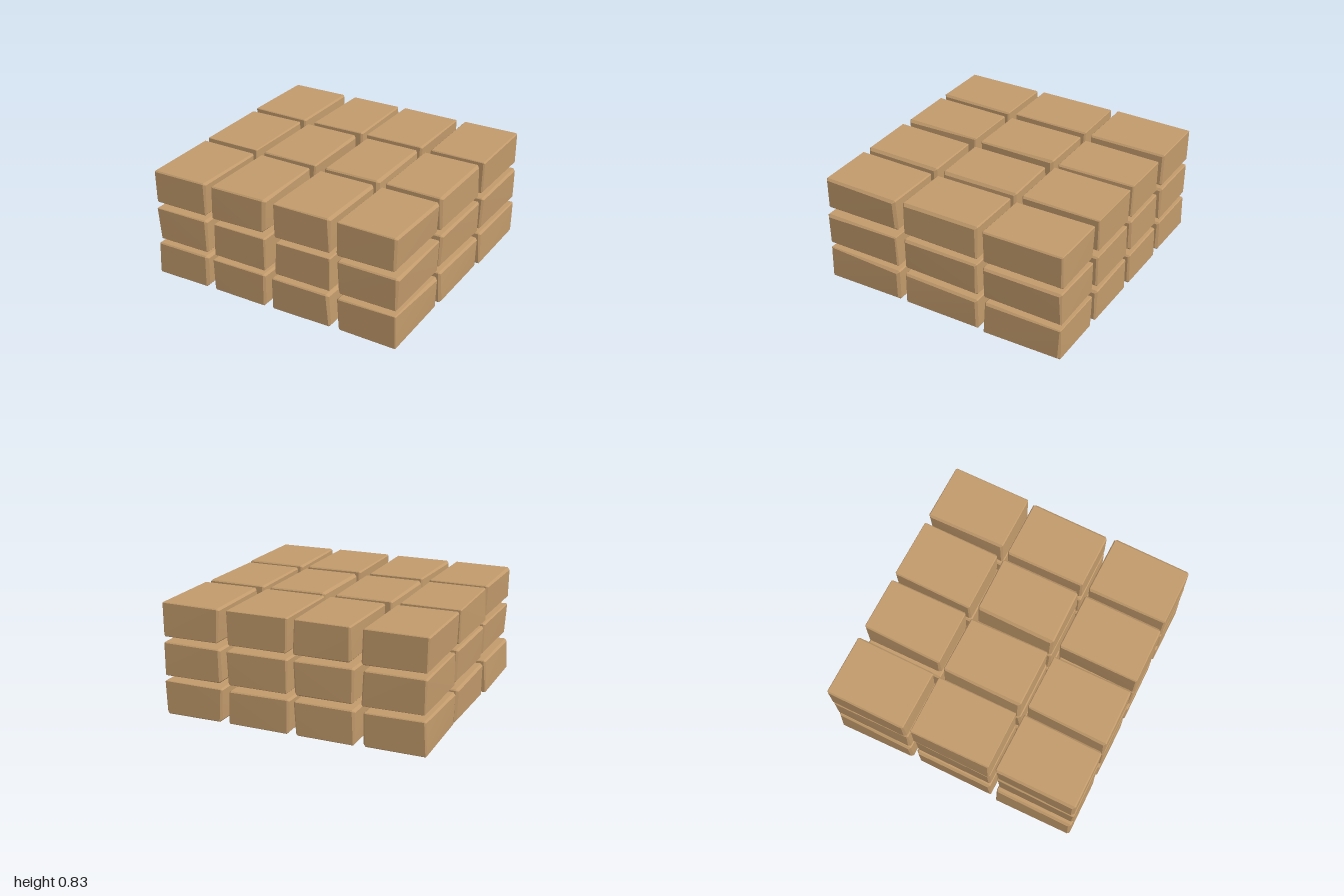
import * as THREE from 'three';
import { ConvexGeometry } from 'three/addons/geometries/ConvexGeometry.js';
import { toCreasedNormals } from 'three/addons/utils/BufferGeometryUtils.js';

// Small seeded generator, returns -1..1
function seeded(seed) {
  let s = seed;
  return () => {
    s = (s * 16807) % 2147483647;
    return (s / 2147483647) * 2 - 1;
  };
}

// Hewn block: every corner is nudged a little, then chamfered by its own amount
function brickGeometry(w, h, d, rand) {
  const points = [];
  for (const sx of [-1, 1]) for (const sy of [-1, 1]) for (const sz of [-1, 1]) {
    const x = sx * w / 2 + rand() * 0.009;
    const y = sy * h / 2 + rand() * 0.003;
    const z = sz * d / 2 + rand() * 0.003;
    const c = 0.013 + rand() * 0.007;
    points.push(
      new THREE.Vector3(x - sx * c, y, z - sz * c * 0.5),
      new THREE.Vector3(x, y - sy * c, z - sz * c),
      new THREE.Vector3(x - sx * c, y - sy * c * 0.5, z),
    );
  }
  return toCreasedNormals(new ConvexGeometry(points), 0.4);
}

// Left and right ends of the four bricks in each row: layers bottom to top, rows back to front
const layers = [
  [
    [-0.98, -0.53, -0.48, -0.03, 0.01, 0.47, 0.53, 0.98],
    [-0.98, -0.53, -0.49, -0.04, 0.02, 0.48, 0.53, 0.98],
    [-0.985, -0.535, -0.485, -0.045, 0.005, 0.47, 0.53, 0.98],
  ],
  [
    [-0.98, -0.53, -0.475, -0.03, 0.02, 0.48, 0.53, 0.98],
    [-0.97, -0.54, -0.48, -0.03, 0.03, 0.48, 0.53, 0.975],
    [-0.96, -0.535, -0.47, -0.04, 0.04, 0.475, 0.53, 0.985],
  ],
  [
    [-0.985, -0.53, -0.45, -0.03, 0.015, 0.47, 0.54, 0.98],
    [-0.985, -0.54, -0.49, -0.045, 0.03, 0.475, 0.53, 0.975],
    [-0.97, -0.53, -0.475, -0.04, 0.04, 0.475, 0.53, 0.975],
  ],
];

export function createModel() {
  const group = new THREE.Group();
  group.name = 'brickStack';
  const clay = new THREE.MeshStandardMaterial({ color: 0xc19a6b });
  clay.name = 'tan clay';
  const rand = seeded(4217);

  layers.forEach((rows, layer) => {
    const course = new THREE.Group();
    course.name = `course${layer + 1}`;
    course.position.y = 0.13 + layer * 0.29;
    rows.forEach((ends, row) => {
      for (let i = 0; i < 4; i++) {
        const [x0, x1] = [ends[i * 2], ends[i * 2 + 1]];
        const brick = new THREE.Mesh(brickGeometry(x1 - x0, 0.248, 0.6, rand), clay);
        brick.name = `brickRow${row + 1}Column${i + 1}`;
        brick.position.set((x0 + x1) / 2, 0, (row - 1) * 0.653);
        course.add(brick);
      }
    });
    group.add(course);
  });
  return group;
}
